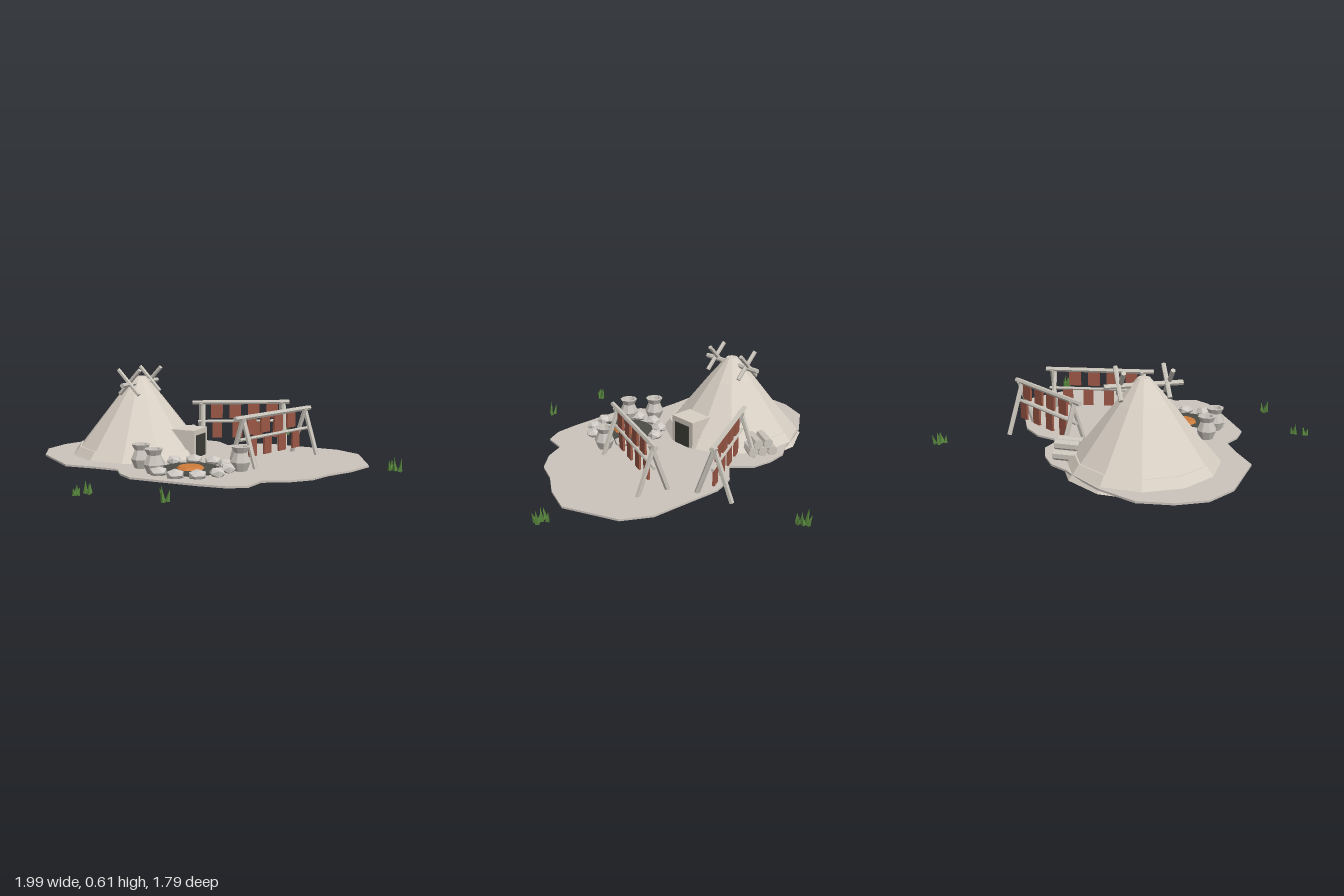
import * as THREE from 'three';

const mat = (name, color) => Object.assign(new THREE.MeshStandardMaterial({ color, flatShading: true }), { name });
const M = {
  ground: mat('packed earth', 0xcbc4bc),
  hide: mat('hide', 0xd8cfc4),
  wood: mat('pale wood', 0xcbc6bc),
  stone: mat('stone', 0xcfcac3),
  clay: mat('clay', 0xc8c3bb),
  meat: mat('dried meat', 0x9c5846),
  ember: mat('ember', 0xcf7d3c),
  ash: mat('ash', 0x4b4c45),
  dark: mat('dark opening', 0x3c3c38),
  grass: mat('grass', 0x56833c),
};
const GROUND = 0.047;
const V = (x, y, z) => new THREE.Vector3(x, y, z);

function add(parent, name, geo, material, x = 0, y = 0, z = 0) {
  const m = new THREE.Mesh(geo, material);
  m.name = name;
  m.position.set(x, y, z);
  parent.add(m);
  return m;
}

function group(parent, name, x = 0, y = 0, z = 0, ry = 0) {
  const g = new THREE.Group();
  g.name = name;
  g.position.set(x, y, z);
  g.rotation.y = ry;
  parent.add(g);
  return g;
}

// Straight pole between two points
function pole(parent, name, a, b, r, sides = 6) {
  const d = b.clone().sub(a);
  const m = add(parent, name, new THREE.CylinderGeometry(r, r, d.length(), sides), M.wood);
  m.position.copy(a).add(b).multiplyScalar(0.5);
  m.quaternion.setFromUnitVectors(V(0, 1, 0), d.normalize());
  return m;
}

function buildGround(root) {
  const pts = [
    [-0.61, -0.91], [-0.36, -0.88], [-0.13, -0.8], [-0.06, -0.765], [0.06, -0.74], [0.165, -0.66],
    [0.25, -0.55], [0.26, -0.4], [0.43, -0.4], [0.57, -0.33], [0.755, -0.13], [0.89, 0.015],
    [0.945, 0.2], [0.82, 0.535], [0.645, 0.625], [0.47, 0.67], [0.335, 0.735], [0.175, 0.735],
    [0.04, 0.69], [-0.08, 0.78], [-0.2, 0.745], [-0.325, 0.645], [-0.49, 0.49], [-0.635, 0.35],
    [-0.66, 0.23], [-0.645, 0.11], [-0.77, -0.01], [-0.915, -0.13], [-0.98, -0.5], [-0.93, -0.695],
    [-0.795, -0.825],
  ];
  const shape = new THREE.Shape(pts.map(([x, z]) => new THREE.Vector2(x, -z)));
  const geo = new THREE.ExtrudeGeometry(shape, { depth: 0.012, bevelEnabled: false });
  add(root, 'ground', geo.rotateX(-Math.PI / 2), M.ground, 0, GROUND - 0.012, 0);
}

function buildHut(root) {
  const hut = group(root, 'hut', -0.36, 0, -0.41);
  const tier = (name, rTop, rBottom, y0, y1) =>
    add(hut, name, new THREE.CylinderGeometry(rTop, rBottom, y1 - y0, 12), M.hide, 0, (y0 + y1) / 2, 0);
  tier('hutSkirt', 0.41, 0.475, 0.015, 0.1);
  tier('hutWall', 0.155, 0.4, 0.1, 0.41);
  tier('hutCap', 0.037, 0.155, 0.41, 0.548);

  // Entrance: local +z points out of the hut diagonally
  const porch = group(hut, 'porch', 0, 0, 0, Math.PI / 4);
  add(porch, 'porchBox', new THREE.BoxGeometry(0.19, 0.2, 0.24), M.hide, 0, 0.125, 0.323);
  add(porch, 'doorway', new THREE.BoxGeometry(0.13, 0.145, 0.008), M.dark, 0, 0.118, 0.445);

  // Ridge beam through the peak with a crossed pair at each end
  const ridge = group(hut, 'ridgePoles', 0, 0, 0, Math.PI / 4);
  pole(ridge, 'ridgeBeam', V(-0.23, 0.505, 0), V(0.23, 0.505, 0), 0.016);
  for (const x of [-0.141, 0.141])
    for (const s of [-1, 1])
      pole(ridge, 'crossPole', V(x + s * 0.008, 0.44, -s * 0.075), V(x + s * 0.008, 0.6, s * 0.075), 0.014);
}

// Drying rack whose beam runs from (x0,z0) to (x1,z1)
function buildRack(root, name, x0, z0, x1, z1, shift) {
  const len = Math.hypot(x1 - x0, z1 - z0);
  const rack = group(root, name, x0, 0, z0, -Math.atan2(z1 - z0, x1 - x0));
  pole(rack, 'topBeam', V(0, 0.345, 0), V(len, 0.345, 0), 0.016);
  const ends = [len * 0.1, len * 0.93];
  pole(rack, 'lowerBar', V(ends[0] - 0.03, 0.213, 0), V(ends[1] + 0.03, 0.213, 0), 0.011);
  for (const x of ends)
    for (const s of [-1, 1])
      pole(rack, 'rackLeg', V(x + s * 0.008, 0.008, s * 0.108), V(x + s * 0.008, 0.345, -s * 0.008), 0.016);
  for (let i = 0; i < 4; i++) {
    add(rack, 'upperMeatStrip', new THREE.BoxGeometry(0.08, 0.1, 0.014), M.meat,
      0.15 + shift + i * 0.128, 0.287, 0);
    add(rack, 'lowerMeatStrip', new THREE.BoxGeometry(0.068, 0.112, 0.014), M.meat,
      0.162 + shift * 0.5 + i * 0.141, 0.155, 0);
  }
}

function buildFirePit(root) {
  const pit = group(root, 'firePit', -0.246, 0, 0.29);
  add(pit, 'ashBed', new THREE.CylinderGeometry(0.18, 0.18, 0.03, 16), M.ash, 0, 0.043, 0);
  add(pit, 'embers', new THREE.CylinderGeometry(0.07, 0.086, 0.016, 9), M.ember, 0, 0.065, 0);
  for (let i = 0; i < 11; i++) {
    const a = (i / 11) * Math.PI * 2;
    const s = add(pit, 'hearthStone', new THREE.IcosahedronGeometry(0.054, 0), M.stone,
      Math.cos(a) * 0.225, 0.066, Math.sin(a) * 0.225);
    s.scale.set(0.9, 0.65, 1.05);
    s.rotation.y = -a + (i % 3) * 0.5;
  }
}

function buildPots(root) {
  const profile = [[0, 0], [0.042, 0], [0.064, 0.055], [0.04, 0.11], [0.058, 0.145], [0.04, 0.145], [0.026, 0.11], [0, 0.11]]
    .map(([r, y]) => new THREE.Vector2(r, y));
  for (const [x, z] of [[-0.5, 0.12], [-0.47, 0.295], [0.03, 0.4]])
    add(root, 'pot', new THREE.LatheGeometry(profile, 8), M.clay, x, GROUND, z);
}

function buildLogs(root) {
  const pile = group(root, 'logPile', 0.037, GROUND, -0.59, 0.3);
  const r = 0.032;
  for (const [row, count] of [[0, 3], [1, 2]])
    for (let i = 0; i < count; i++) {
      const y = r + row * r * 1.65, z = (i - (count - 1) / 2) * r * 2;
      pole(pile, 'log', V(-0.075, y, z), V(0.075, y, z), r, 7);
    }
}

function buildGrass(root) {
  const blades = [[-0.016, 0.012, 0.065, 0.2], [0.012, -0.012, 0.09, -0.1], [0.024, 0.016, 0.07, -0.3]];
  const tufts = [[-0.98, 0.565, 0.65], [-0.915, 0.555, 0.8], [-0.575, 0.865, 1], [0.945, 0.605, 1], [0.965, 0.635, 0.9],
    [0.88, -0.77, 0.8], [0.893, -0.8, 1]];
  tufts.forEach(([x, z, s], i) => {
    const tuft = group(root, 'grassTuft', x, 0.022, z, i * 1.3);
    for (const [bx, bz, h, lean] of blades) {
      const b = add(tuft, 'grassBlade', new THREE.ConeGeometry(0.014, h * s, 4), M.grass, bx * s, h * s / 2, bz * s);
      b.rotation.z = lean;
    }
  });
}

export function createModel() {
  const root = new THREE.Group();
  root.name = 'camp';
  buildGround(root);
  buildHut(root);
  buildRack(root, 'frontRack', 0.016, 0.342, 0.674, 0.02, 0);
  buildRack(root, 'backRack', 0.03, -0.487, 0.674, -0.29, 0.02);
  buildFirePit(root);
  buildPots(root);
  buildLogs(root);
  buildGrass(root);
  return root;
}
